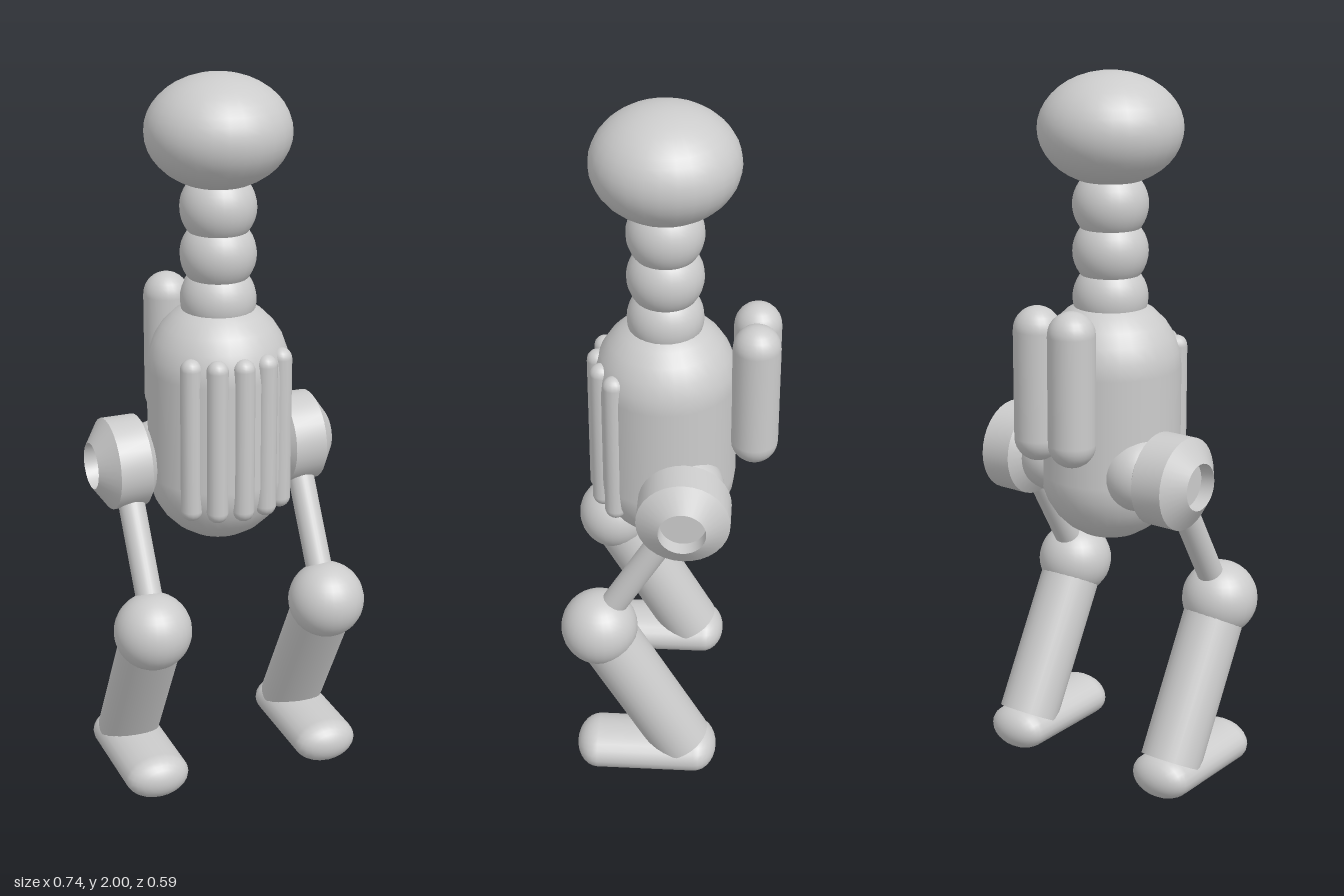
import * as THREE from 'three';
import { toCreasedNormals } from 'three/addons/utils/BufferGeometryUtils.js';

const grey = new THREE.MeshStandardMaterial({ color: 0xcccccc });
const AXIS_Z = 0.015;
const V = (x, y, z) => new THREE.Vector3(x, y, z);

function add(parent, name, geometry, x = 0, y = 0, z = 0) {
  const mesh = new THREE.Mesh(geometry, grey);
  mesh.name = name;
  mesh.position.set(x, y, z);
  parent.add(mesh);
  return mesh;
}

const ball = (r) => new THREE.SphereGeometry(r, 28, 20);

// Upright capsule between two overall heights
function capsule(parent, name, r, y0, y1, x, z, sides = 20) {
  const g = new THREE.CapsuleGeometry(r, y1 - y0 - 2 * r, 7, sides);
  return add(parent, name, g, x, (y0 + y1) / 2, z);
}

// Round bar from point a to point b
function bar(parent, name, r, a, b) {
  const dir = b.clone().sub(a);
  const mesh = add(parent, name, new THREE.CylinderGeometry(r, r, dir.length(), 28));
  mesh.position.copy(a).lerp(b, 0.5);
  mesh.quaternion.setFromUnitVectors(V(0, 1, 0), dir.normalize());
  return mesh;
}

// Bevelled hub turned around the x axis, with a shallow recess on the outside
function hubGeometry() {
  const profile = [[0, -0.09], [0.065, -0.09], [0.128, -0.046], [0.128, 0.046],
    [0.065, 0.091], [0.063, 0.05], [0, 0.05]].map(([r, h]) => new THREE.Vector2(r, h));
  const g = new THREE.LatheGeometry(profile, 32);
  g.rotateZ(-Math.PI / 2);
  return toCreasedNormals(g, 0.5);
}

function leg(side) {
  const group = new THREE.Group();
  group.name = side > 0 ? 'leftLeg' : 'rightLeg';
  const x = side * 0.26;

  // Hip joint
  add(group, 'hipBall', ball(0.105), side * 0.145, 0.928, -0.05);
  const hub = add(group, 'hipHub', hubGeometry(), x, 0.928, -0.05);
  if (side < 0) hub.rotation.y = Math.PI;

  // Thigh, knee and shin
  bar(group, 'thigh', 0.037, V(side * 0.257, 0.928, -0.048), V(side * 0.257, 0.505, 0.2));
  add(group, 'knee', ball(0.108), side * 0.262, 0.515, 0.187);
  bar(group, 'shin', 0.087, V(x, 0.515, 0.187), V(x, 0.09, -0.045));

  // Wide, flattened foot
  const footGeo = new THREE.CapsuleGeometry(0.063, 0.282, 7, 24);
  footGeo.rotateX(Math.PI / 2);
  footGeo.scale(1.47, 1, 1);
  add(group, 'foot', footGeo, x, 0.063, 0.056);
  return group;
}

export function createModel() {
  const model = new THREE.Group();
  model.name = 'robot';

  // Torso
  capsule(model, 'torso', 0.196, 0.7, 1.395, 0, AXIS_Z, 32);

  // Ribs fanned around the chest
  for (let i = -2; i <= 2; i++) {
    const a = i * 0.39;
    capsule(model, 'rib', 0.03, 0.81, 1.275,
      Math.sin(a) * 0.185, AXIS_Z + Math.cos(a) * 0.185, 14);
  }

  // Stacked neck and oval head
  for (const y of [1.39, 1.517, 1.645]) add(model, 'neckSegment', ball(0.104), 0, y, AXIS_Z);
  const head = add(model, 'head', ball(0.197), 0, 1.848, AXIS_Z);
  head.scale.y = 0.152 / 0.197;

  // Back tanks and legs
  for (const side of [1, -1]) {
    capsule(model, 'backTank', 0.065, 0.975, 1.402, side * 0.058, -0.232, 24);
    model.add(leg(side));
  }
  return model;
}
